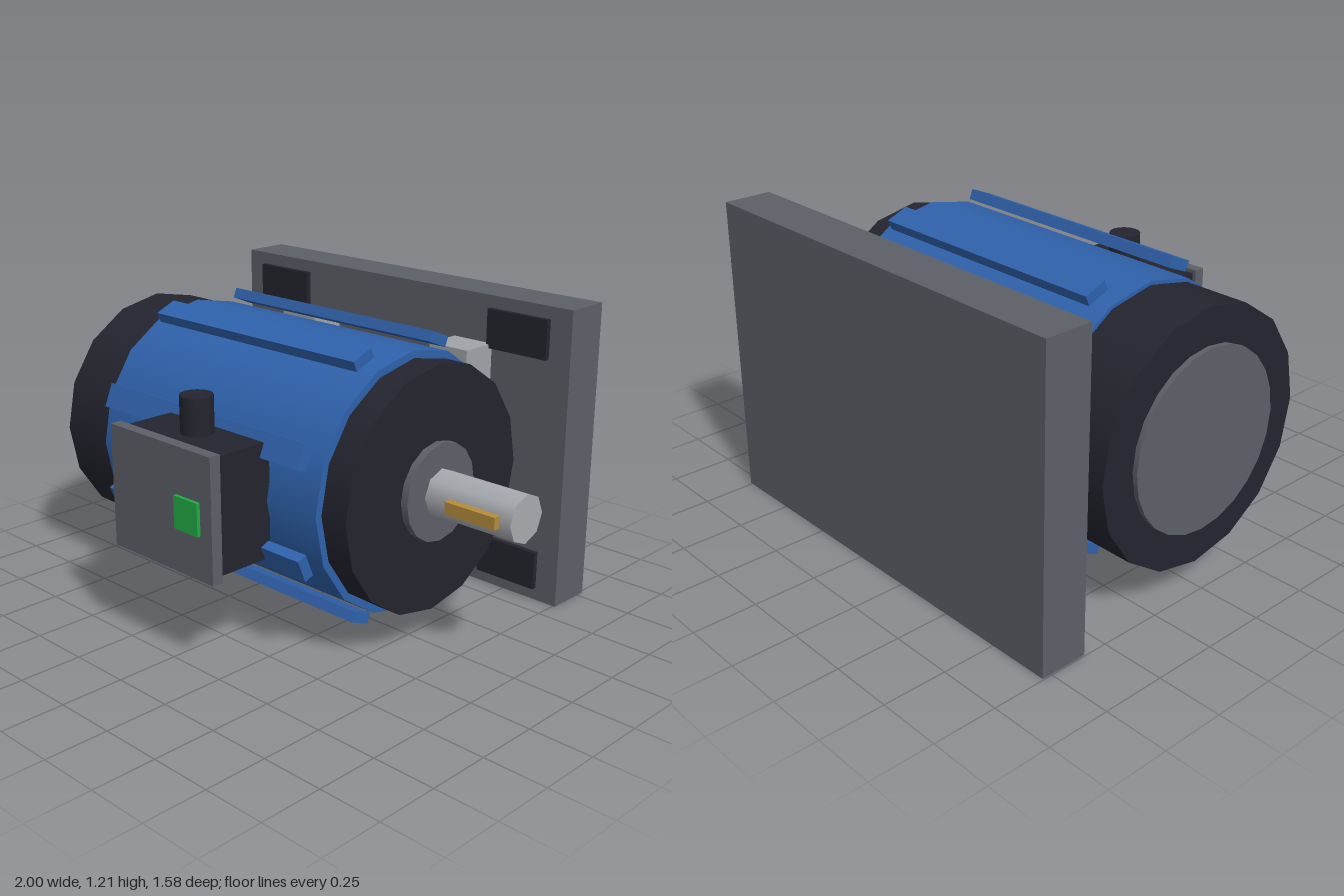
import * as THREE from 'three';

const paint = (name, color) => {
  const m = new THREE.MeshStandardMaterial({ color });
  m.name = name;
  return m;
};

export function createModel() {
  const blue = paint('blue paint', 0x2f62ac);
  const dark = paint('dark iron', 0x23242e);
  const slate = paint('slate grey', 0x5d5f68);
  const light = paint('light grey', 0xa0a4a8);
  const steel = paint('shaft steel', 0xa8abb0);
  const brass = paint('brass', 0xb58c3c);
  const green = paint('green', 0x22ab45);
  const pale = paint('pale label', 0xc9c9c4);

  const model = new THREE.Group();
  model.name = 'motor';
  const AXIS_Y = 0.608, AXIS_Z = -0.023;

  const add = (name, geometry, material, x, y, z) => {
    const mesh = new THREE.Mesh(geometry, material);
    mesh.name = name;
    mesh.position.set(x, y, z);
    model.add(mesh);
    return mesh;
  };
  // box given by its extents along each axis
  const box = (name, material, [x0, x1], [y0, y1], [z0, z1]) =>
    add(name, new THREE.BoxGeometry(x1 - x0, y1 - y0, z1 - z0), material,
      (x0 + x1) / 2, (y0 + y1) / 2, (z0 + z1) / 2);
  // cylinder along the motor axis
  const drum = (name, material, x0, x1, radius, sides = 16) =>
    add(name, new THREE.CylinderGeometry(radius, radius, x1 - x0, sides).rotateZ(-Math.PI / 2),
      material, (x0 + x1) / 2, AXIS_Y, AXIS_Z);

  // motor housing, end covers and shaft
  drum('housing', blue, -0.715, 0.475, 0.507);
  drum('fanCover', dark, -0.98, -0.715, 0.493);
  drum('fanCoverPlate', slate, -1, -0.98, 0.35, 24);
  drum('driveEndCover', dark, 0.475, 0.59, 0.478);
  drum('bearingFlange', slate, 0.59, 0.62, 0.19);
  drum('shaft', steel, 0.62, 1, 0.093, 8);
  box('shaftKey', brass, [0.73, 0.95], [0.585, 0.632], [0.045, 0.093]);

  // cooling ribs, leaving out the two on the mounting side
  for (const degrees of [-67.5, -22.5, 22.5, 67.5, 112.5, 247.5]) {
    const a = THREE.MathUtils.degToRad(degrees);
    const rib = add('coolingRib', new THREE.BoxGeometry(1.08, 0.096, 0.042), blue,
      -0.12, AXIS_Y + 0.543 * Math.sin(a), AXIS_Z + 0.543 * Math.cos(a));
    rib.rotation.x = -a;
  }

  // terminal box with lid, button and cable gland
  box('terminalBox', dark, [-0.28, 0.23], [0.385, 0.832], [0.47, 0.72]);
  box('terminalLid', slate, [-0.295, 0.25], [0.37, 0.847], [0.72, 0.766]);
  box('greenMarker', green, [0.075, 0.2], [0.547, 0.672], [0.774, 0.788]);
  add('cableGland', new THREE.CylinderGeometry(0.0625, 0.0625, 0.145, 16), dark,
    -0.025, 0.903, 0.583);

  // mounting plate, feet and corner pads
  box('mountingPlate', slate, [-0.995, 0.76], [0, 1.213], [-0.787, -0.595]);
  for (const x of [[-0.625, -0.437], [0.203, 0.39]])
    box('foot', light, x, [0.198, 1.02], [-0.595, -0.438]);
  for (const x of [[-0.9, -0.615], [0.378, 0.662]])
    for (const y of [[0.052, 0.21], [1.005, 1.163]])
      box('cornerPad', dark, x, y, [-0.595, -0.574]);

  // rating plate under the housing
  box('ratingPlate', pale, [-0.36, 0.118], [0.06, 0.09], [-0.21, 0.043]);
  box('ratingPlateMark', dark, [-0.215, -0.02], [0.051, 0.06], [-0.116, -0.053]);

  return model;
}
